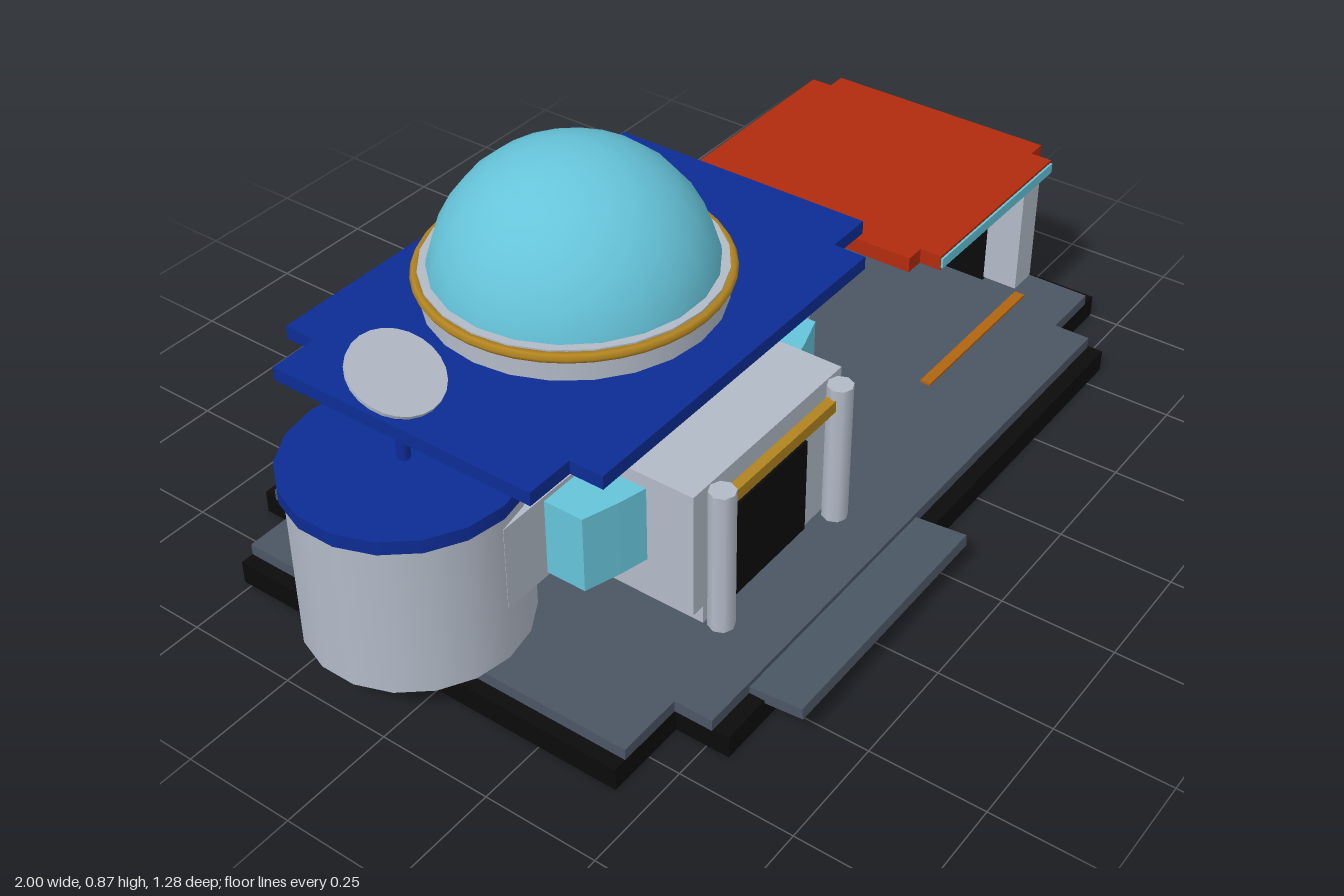
import * as THREE from 'three';

const material = (name, color) => {
  const m = new THREE.MeshStandardMaterial({ color });
  m.name = name;
  return m;
};

export function createModel() {
  const model = new THREE.Group();
  model.name = 'baseStation';

  const black = material('black', 0x0b0b0b);
  const slate = material('slate', 0x4b5664);
  const white = material('paleGrey', 0xb2bac7);
  const blue = material('blue', 0x0d2c94);
  const glass = material('glass', 0x66c4da);
  const gold = material('gold', 0xb28420);
  const red = material('red', 0xb22b0e);
  const orange = material('orange', 0xb0650f);

  function add(name, geometry, mat, x = 0, y = 0, z = 0) {
    const mesh = new THREE.Mesh(geometry, mat);
    mesh.name = name;
    mesh.position.set(x, y, z);
    model.add(mesh);
    return mesh;
  }
  // Box given by its limits on each axis
  const box = (name, mat, [x0, x1], [y0, y1], [z0, z1]) =>
    add(name, new THREE.BoxGeometry(x1 - x0, y1 - y0, z1 - z0), mat,
      (x0 + x1) / 2, (y0 + y1) / 2, (z0 + z1) / 2);
  const cylinder = (name, mat, r, y0, y1, x, z, sides = 20) =>
    add(name, new THREE.CylinderGeometry(r, r, y1 - y0, sides), mat, x, (y0 + y1) / 2, z);
  // Slab with notched corners: outer limits with a cut from each corner
  function notchedSlab(name, mat, [x0, x1], [y0, y1], [z0, z1], cx, cz) {
    const s = new THREE.Shape([
      [x0 + cx, z0], [x1 - cx, z0], [x1 - cx, z0 + cz], [x1, z0 + cz],
      [x1, z1 - cz], [x1 - cx, z1 - cz], [x1 - cx, z1], [x0 + cx, z1],
      [x0 + cx, z1 - cz], [x0, z1 - cz], [x0, z0 + cz], [x0 + cx, z0 + cz],
    ].map(([x, z]) => new THREE.Vector2(x, -z)));
    const g = new THREE.ExtrudeGeometry(s, { depth: y1 - y0, bevelEnabled: false });
    g.rotateX(-Math.PI / 2);
    return add(name, g, mat, 0, y0, 0);
  }

  // Foundation, deck and entrance ramp
  notchedSlab('foundation', black, [-0.85, 1], [0, 0.052], [-0.64, 0.55], 0.185, 0.12);
  notchedSlab('deck', slate, [-0.82, 0.96], [0.052, 0.078], [-0.605, 0.515], 0.15, 0.085);
  const ramp = box('ramp', slate, [-0.55, 0.05], [0.046, 0.071], [0.47, 0.635]);
  ramp.rotation.x = -0.1;

  // Central hall with raised wings
  const cx = -0.25, cz = -0.12;
  box('hallCore', white, [-0.47, -0.03], [0.078, 0.52], [-0.255, 0.06]);
  box('crossWing', white, [-0.755, 0.255], [0.197, 0.39], [-0.34, 0.11]);
  box('rearWing', white, [-0.48, -0.02], [0.197, 0.388], [-0.46, -0.2]);

  // Bowed window band across the front of the hall
  const bow = new THREE.Shape();
  bow.moveTo(-0.64, -0.05);
  bow.lineTo(-0.64, -0.2);
  bow.quadraticCurveTo(cx, -0.34, 0.135, -0.2);
  bow.lineTo(0.135, -0.05);
  const bowGeo = new THREE.ExtrudeGeometry(bow, { depth: 0.175, bevelEnabled: false, curveSegments: 10 });
  bowGeo.rotateX(-Math.PI / 2);
  add('windowBand', bowGeo, glass, 0, 0.205, 0);

  // Porch with columns, doorway and gold lintel
  box('porch', white, [-0.5, 0], [0.12, 0.41], [0.05, 0.35]);
  box('porchBase', white, [-0.47, -0.03], [0.078, 0.12], [0.06, 0.35]);
  box('doorway', black, [-0.375, -0.125], [0.078, 0.305], [0.348, 0.356]);
  for (const side of [-1, 1]) {
    cylinder('porchColumn', white, 0.028, 0.078, 0.41, cx + side * 0.2, 0.38, 8);
  }
  box('lintel', gold, [-0.43, -0.07], [0.36, 0.387], [0.365, 0.387]);

  // Main roof, drum and dome
  notchedSlab('hallRoof', blue, [-0.79, 0.29], [0.52, 0.55], [-0.49, 0.285], 0.11, 0.075);
  cylinder('domeDrum', white, 0.308, 0.545, 0.62, cx, cz, 24);
  const ring = add('domeRing', new THREE.TorusGeometry(0.312, 0.011, 6, 40), gold, cx, 0.607, cz);
  ring.rotation.x = Math.PI / 2;
  add('dome', new THREE.SphereGeometry(0.295, 22, 16), glass, cx, 0.575, cz);

  // Side tower with dish
  const tx = -0.76;
  cylinder('tower', white, 0.23, 0.078, 0.425, tx, cz, 18);
  cylinder('towerCap', blue, 0.24, 0.425, 0.455, tx, cz, 18);
  cylinder('dishMast', blue, 0.013, 0.45, 0.64, tx, cz, 8);
  const dish = cylinder('dish', white, 0.096, 0.643, 0.651, tx, cz, 24);
  dish.rotation.x = 0.48;

  // Open shelter: back wall, side wall, post and roof
  box('shelterBackWall', black, [0.415, 0.945], [0.078, 0.395], [-0.34, -0.3]);
  box('shelterSideWall', white, [0.905, 0.948], [0.078, 0.395], [-0.3, 0.26]);
  box('shelterSideLining', black, [0.875, 0.905], [0.078, 0.395], [-0.3, 0.2]);
  box('shelterPost', white, [0.878, 0.95], [0.085, 0.395], [0.2, 0.285]);
  notchedSlab('shelterRoof', red, [0.385, 0.967], [0.395, 0.43], [-0.325, 0.322], 0.046, 0.05);
  box('shelterLight', glass, [0.433, 0.919], [0.4, 0.424], [0.32, 0.327]);
  box('thresholdStrip', orange, [0.44, 0.87], [0.076, 0.084], [0.29, 0.315]);

  return model;
}
